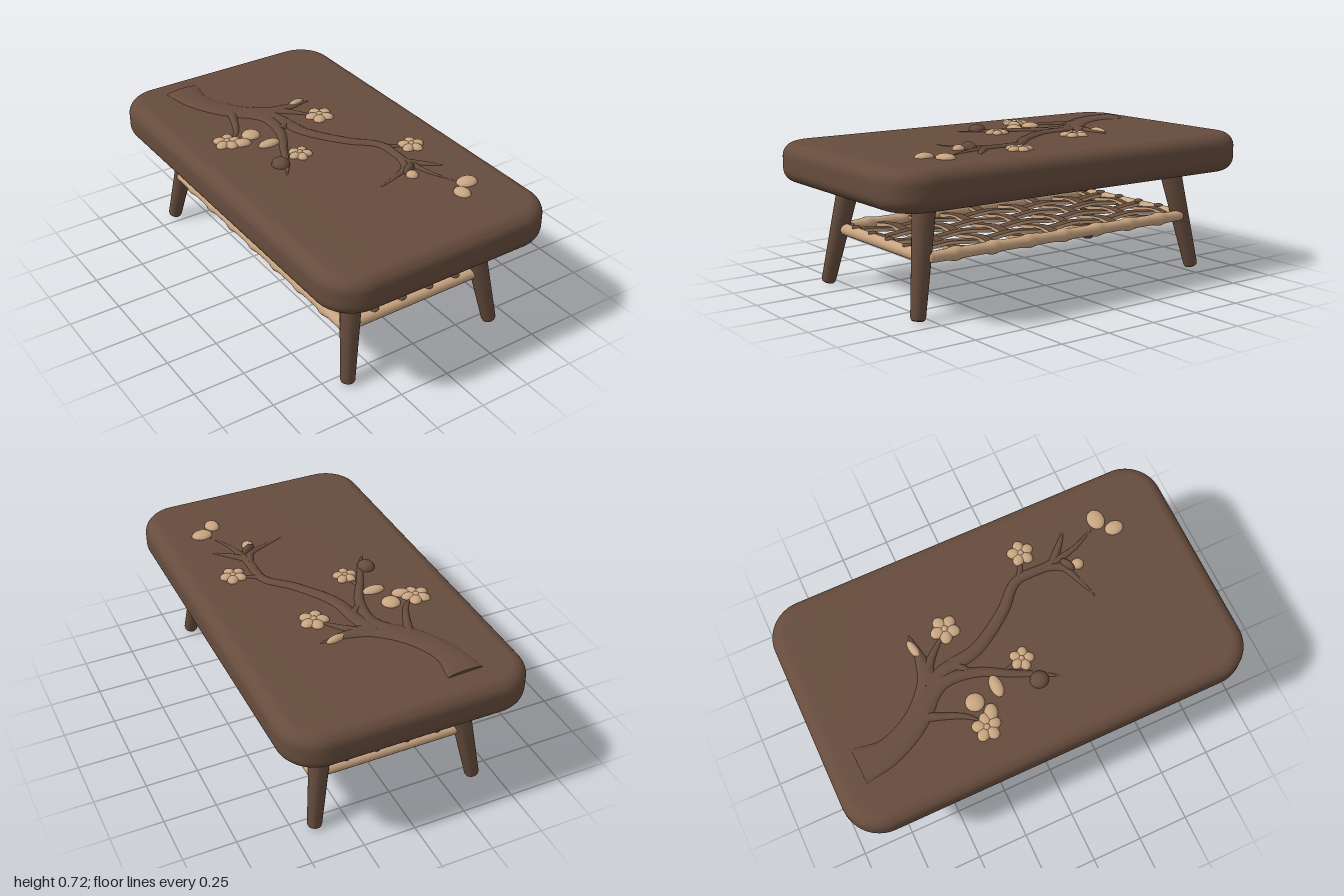
import * as THREE from 'three';
import { toCreasedNormals } from 'three/addons/utils/BufferGeometryUtils.js';

const brown = new THREE.MeshStandardMaterial({ color: 0x664c3d });
brown.name = 'darkWood';
const tan = new THREE.MeshStandardMaterial({ color: 0xc9a581 });
tan.name = 'paleBamboo';

const TOP = 0.688, SHELF = 0.271;

function add(parent, name, geometry, material, x = 0, y = 0, z = 0) {
  const mesh = new THREE.Mesh(geometry, material);
  mesh.name = name;
  mesh.position.set(x, y, z);
  parent.add(mesh);
  return mesh;
}

// Thick slab with rounded corners and soft edges
function tabletopGeometry() {
  const bevel = 0.065, w = 0.585 - bevel, d = 1 - bevel, r = 0.115;
  const s = new THREE.Shape();
  s.moveTo(-w + r, -d);
  s.lineTo(w - r, -d);
  s.absarc(w - r, -d + r, r, -Math.PI / 2, 0);
  s.absarc(w - r, d - r, r, 0, Math.PI / 2);
  s.absarc(-w + r, d - r, r, Math.PI / 2, Math.PI);
  s.absarc(-w + r, -d + r, r, Math.PI, Math.PI * 1.5);
  const g = new THREE.ExtrudeGeometry(s, {
    depth: 0.186 - 2 * bevel, bevelThickness: bevel, bevelSize: bevel, bevelSegments: 10, curveSegments: 12,
  });
  g.rotateX(-Math.PI / 2);
  g.translate(0, TOP - 0.186 + bevel, 0);
  return toCreasedNormals(g, 0.4);
}

// Round leg, tapered to a softly rounded foot
function legGeometry(length) {
  const profile = [[0, 0], [0.02, 0], [0.029, 0.004], [0.034, 0.016], [0.055, length], [0, length]];
  return toCreasedNormals(new THREE.LatheGeometry(profile.map(([r, y]) => new THREE.Vector2(r, y)), 24), 0.7);
}

// Bamboo pole along z, swelling at each node
function railGeometry(half) {
  const pts = [new THREE.Vector2(0, -half)];
  for (let i = 0; i <= 96; i++) {
    const y = -half + (2 * half * i) / 96;
    const fromNode = Math.abs(y - Math.round(y / 0.2) * 0.2);
    pts.push(new THREE.Vector2(0.026 + 0.008 * Math.exp(-((fromNode / 0.028) ** 2)), y));
  }
  pts.push(new THREE.Vector2(0, half));
  return new THREE.LatheGeometry(pts, 16).rotateX(Math.PI / 2);
}

// Flat strip along z that weaves gently up and down; its upper face is dark
function slatGeometry(length, width, step, phase) {
  const g = new THREE.BoxGeometry(width, 0.016, length, 1, 1, 64);
  const p = g.attributes.position;
  for (let i = 0; i < p.count; i++) {
    p.setY(i, p.getY(i) + 0.007 * Math.cos((Math.PI * p.getZ(i)) / step + phase));
  }
  g.computeVertexNormals();
  return g;
}
const slatMaterials = [tan, tan, brown, tan, tan, tan];

// Carved branch: half-round section swept along a curve; points are [x, z, half width]
function branchGeometry(points, height) {
  const curve = new THREE.CatmullRomCurve3(points.map(([x, z, w]) => new THREE.Vector3(x, w, z)));
  const n = points.length * 7, m = 8, pos = [], idx = [];
  for (let i = 0; i <= n; i++) {
    const c = curve.getPoint(i / n), t = curve.getTangent(i / n).setY(0).normalize();
    const w = Math.max(c.y, 0.003), h = Math.min(height, w * 0.8);
    for (let j = 0; j <= m; j++) {
      const a = (Math.PI * j) / m, s = Math.cos(a) * w;
      pos.push(c.x - t.z * s, TOP - 0.003 + Math.sin(a) * h, c.z + t.x * s);
      if (i < n && j < m) {
        const k = i * (m + 1) + j;
        idx.push(k, k + m + 1, k + 1, k + 1, k + m + 1, k + m + 2);
      }
    }
  }
  // Close both ends
  const last = n * (m + 1);
  for (let j = 1; j < m; j++) idx.push(0, j, j + 1, last, last + j + 1, last + j);
  const g = new THREE.BufferGeometry();
  g.setAttribute('position', new THREE.Float32BufferAttribute(pos, 3));
  g.setIndex(idx);
  return toCreasedNormals(g, 0.9);
}

const sphere = new THREE.SphereGeometry(1, 16, 10);

function addBud(parent, name, material, x, z, rx, rz, h, turn = 0) {
  const bud = add(parent, name, sphere, material, x, TOP, z);
  bud.scale.set(rx, h, rz);
  bud.rotation.y = turn;
}

// Five-petal blossom with a raised heart
function addBlossom(parent, x, z, r, turn) {
  const blossom = new THREE.Group();
  blossom.name = 'blossom';
  for (let i = 0; i < 5; i++) {
    const a = turn + (i * Math.PI * 2) / 5;
    const petal = add(blossom, 'petal', sphere, tan, Math.cos(a) * r * 0.53, 0, Math.sin(a) * r * 0.53);
    petal.scale.set(r * 0.5, 0.019, r * 0.42);
    petal.rotation.y = -a;
  }
  add(blossom, 'blossomHeart', sphere, tan, 0, 0.008, 0).scale.set(r * 0.24, 0.014, r * 0.24);
  blossom.position.set(x, TOP, z);
  parent.add(blossom);
}

export function createModel() {
  const model = new THREE.Group();
  model.name = 'coffeeTable';
  add(model, 'tabletop', tabletopGeometry(), brown);

  // Splayed legs
  for (const sx of [-1, 1]) {
    for (const sz of [-1, 1]) {
      const foot = new THREE.Vector3(sx * 0.403, 0.006, sz * 0.808);
      const dir = new THREE.Vector3(sx * 0.32, 0.54, sz * 0.712).sub(foot);
      const leg = add(model, 'leg', legGeometry(dir.length()), brown);
      leg.position.copy(foot);
      leg.quaternion.setFromUnitVectors(new THREE.Vector3(0, 1, 0), dir.normalize());
    }
  }

  // Shelf frame: bamboo side rails and plain end rods
  const shelf = new THREE.Group();
  shelf.name = 'shelf';
  model.add(shelf);
  for (const s of [-1, 1]) {
    add(shelf, 'sideRail', railGeometry(0.745), tan, s * 0.38, SHELF, 0);
    const rod = new THREE.CylinderGeometry(0.028, 0.028, 0.74, 16).rotateZ(Math.PI / 2);
    add(shelf, 'endRod', rod, tan, 0, SHELF, s * 0.75);
  }

  // Woven lattice
  const stepX = 0.15, stepZ = 0.18;
  for (let i = 0; i < 4; i++) {
    const g = slatGeometry(1.5, 0.05, stepZ, i * Math.PI);
    const x = (i - 1.5) * stepX;
    add(shelf, 'longSlat', g, slatMaterials, x, SHELF + 0.004, 0);
    // Dark slat tip lapping over each end rod
    for (const s of [-1, 1]) {
      add(shelf, 'slatTip', sphere, brown, x, SHELF + 0.025, s * 0.745).scale.set(0.025, 0.011, 0.022);
    }
  }
  for (let i = -4; i <= 4; i++) {
    const g = slatGeometry(0.76, 0.05, stepX, Math.PI / 2 + i * Math.PI).rotateY(Math.PI / 2);
    add(shelf, 'crossSlat', g, slatMaterials, 0, SHELF + 0.002, i * stepZ);
  }

  // Blossoming branch carved on the top
  const carving = new THREE.Group();
  carving.name = 'carvedBranch';
  model.add(carving);
  const branches = [
    [[-0.285, -0.86, 0.09], [-0.28, -0.72, 0.068], [-0.2, -0.55, 0.06], [-0.07, -0.43, 0.055], [0.05, -0.41, 0.03], [0.2, -0.415, 0.004]],
    [[-0.19, -0.53, 0.03], [-0.22, -0.45, 0.02], [-0.27, -0.34, 0.014], [-0.32, -0.28, 0.006]],
    [[-0.13, -0.47, 0.05], [-0.08, -0.36, 0.035], [-0.1, -0.21, 0.025], [-0.18, -0.05, 0.018], [-0.24, 0.07, 0.012], [-0.29, 0.15, 0.003]],
    [[-0.07, -0.44, 0.04], [-0.03, -0.32, 0.035], [0, -0.16, 0.032], [0.12, 0.03, 0.028], [0.23, 0.15, 0.024], [0.24, 0.32, 0.022], [0.27, 0.47, 0.012], [0.33, 0.6, 0.005]],
    [[0, -0.41, 0.03], [0.07, -0.34, 0.016], [0.13, -0.27, 0.008]],
    [[-0.08, -0.24, 0.02], [-0.05, -0.26, 0.02], [-0.02, -0.29, 0.02]],
    [[0.24, 0.3, 0.022], [0.2, 0.38, 0.018], [0.11, 0.42, 0.012], [-0.01, 0.46, 0.003]],
    [[0.24, 0.34, 0.02], [0.3, 0.4, 0.017], [0.38, 0.47, 0.003]],
    [[0.24, 0.17, 0.016], [0.29, 0.2, 0.012], [0.33, 0.22, 0.006]],
    [[0.23, 0.36, 0.014], [0.2, 0.43, 0.008], [0.19, 0.46, 0.004]],
    [[-0.16, -0.09, 0.014], [-0.14, -0.04, 0.01], [-0.13, 0, 0.006]],
  ];
  for (const b of branches) add(carving, 'branch', branchGeometry(b, 0.016), brown);

  for (const [x, z, r, turn] of [[-0.36, -0.27, 0.068, 0.2], [0.15, -0.25, 0.07, 0.9], [-0.13, 0.01, 0.058, 0.5], [0.35, 0.23, 0.064, 0.1]]) {
    addBlossom(carving, x, z, r, turn);
  }
  const buds = [
    [-0.23, -0.27, 0.045, 0.045], [-0.305, -0.225, 0.045, 0.032, -0.4], [-0.2, -0.15, 0.056, 0.03],
    [0.12, -0.42, 0.05, 0.02, 0.2], [0.19, 0.45, 0.028, 0.03], [0.36, 0.63, 0.052, 0.042], [0.285, 0.69, 0.036, 0.046],
  ];
  for (const [x, z, rx, rz, turn] of buds) addBud(carving, 'bud', tan, x, z, rx, rz, 0.022, turn);
  addBud(carving, 'darkBud', brown, -0.255, 0.04, 0.042, 0.045, 0.034);
  addBud(carving, 'darkBud', brown, 0.205, 0.405, 0.042, 0.02, 0.034, 0.5);
  return model;
}
